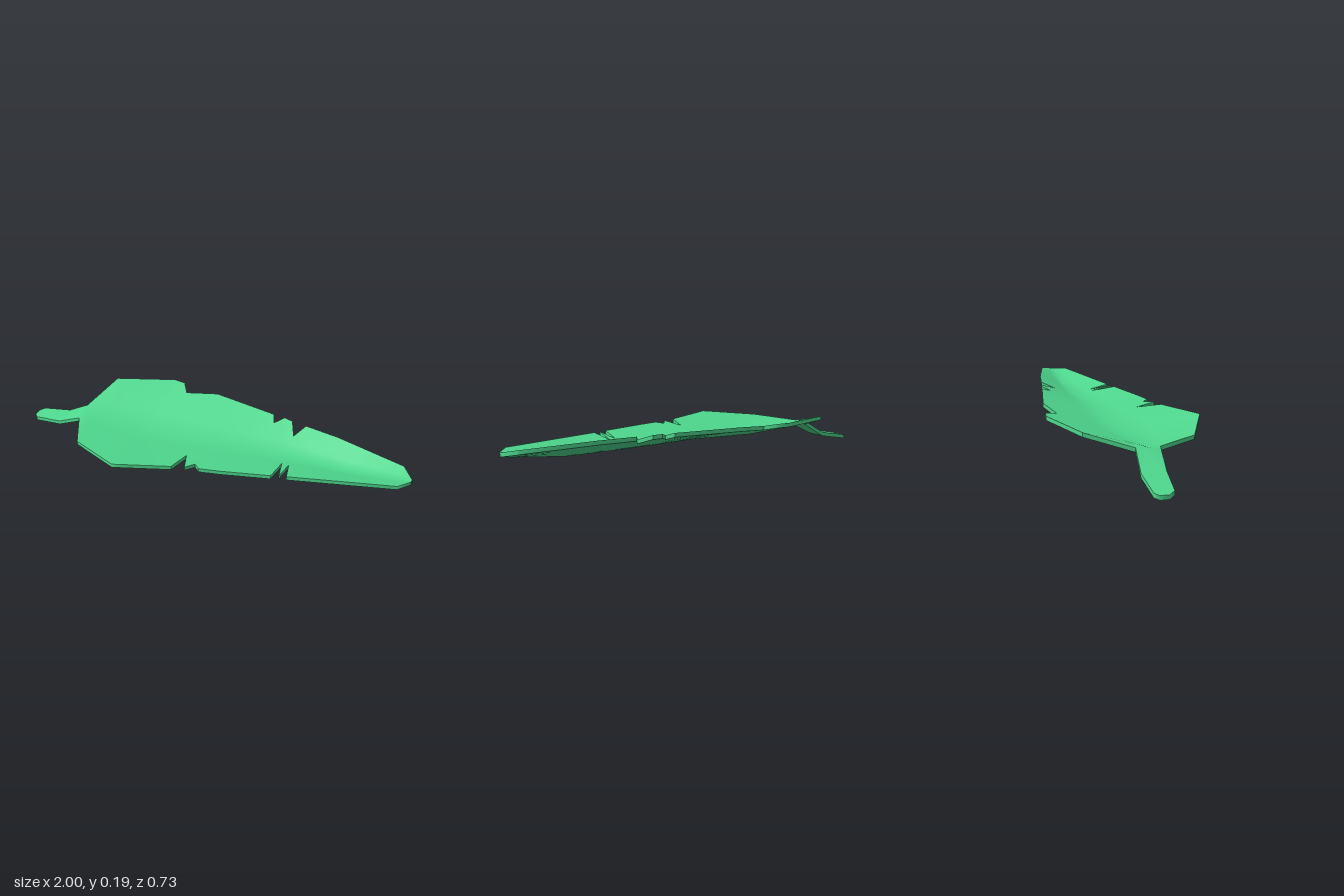
import * as THREE from 'three';
import { toCreasedNormals } from 'three/addons/utils/BufferGeometryUtils.js';

// Piecewise-linear lookup in a list of [x, value] points
function lerpAt(points, x) {
  if (x <= points[0][0]) return points[0][1];
  for (let i = 1; i < points.length; i++) {
    const [x0, v0] = points[i - 1];
    const [x1, v1] = points[i];
    if (x <= x1) return v0 + ((v1 - v0) * (x - x0)) / (x1 - x0);
  }
  return points[points.length - 1][1];
}

const THICKNESS = 0.02;
const INNER = 0.35; // share of each wing left whole by the notches

// Midrib: z position and top height
const midZ = [[-1, -0.015], [-0.7, 0], [-0.35, -0.03], [0, -0.05], [0.4, -0.09], [1, -0.1]];
const midY = [[-1, 0.022], [-0.97, 0.03], [-0.82, 0.057], [-0.7, 0.128], [-0.35, 0.107],
  [0, 0.12], [0.7, 0.12], [0.95, 0.145], [1, 0.152]];

// Whole outline of the back and front edges, stem included
const backZ = [[-1, -0.04], [-0.98, -0.06], [-0.82, -0.065], [-0.7, -0.055], [-0.63, -0.265],
  [-0.34, -0.368], [-0.28, -0.362], [-0.08, -0.338], [0.25, -0.288], [0.43, -0.262],
  [0.6, -0.24], [0.945, -0.172], [1, -0.108]];
const frontZ = [[-1, 0], [-0.975, 0.028], [-0.82, 0.045], [-0.685, 0.058], [-0.585, 0.245],
  [-0.325, 0.362], [-0.065, 0.255], [0.06, 0.218], [0.16, 0.195], [0.39, 0.13],
  [0.46, 0.108], [0.95, -0.028], [1, -0.092]];
const backY = [[-1, 0.022], [-0.97, 0.03], [-0.82, 0.057], [-0.7, 0.13], [-0.63, 0.19],
  [-0.34, 0.196], [0.25, 0.192], [0.6, 0.186], [0.945, 0.168], [1, 0.153]];
const frontY = [[-1, 0.022], [-0.97, 0.03], [-0.82, 0.057], [-0.685, 0.125], [-0.585, 0.135],
  [-0.325, 0.16], [-0.06, 0.152], [0.4, 0.153], [0.95, 0.157], [1, 0.152]];

// Torn notches: [x, edge z] runs that replace the outline
const backNotches = [
  [[-0.28, -0.362], [-0.24, -0.302], [-0.08, -0.338]],
  [[0.25, -0.288], [0.27, -0.24], [0.31, -0.282], [0.355, -0.272], [0.39, -0.195], [0.43, -0.262]],
];
const frontNotches = [
  [[-0.065, 0.255], [-0.04, 0.135], [-0.005, 0.235], [0.03, 0.188], [0.06, 0.218]],
  [[0.39, 0.13], [0.4, 0], [0.425, 0.118], [0.434, 0], [0.46, 0.108]],
];

function edgeAt(outline, notches, x) {
  const run = notches.find((n) => x >= n[0][0] && x <= n[n.length - 1][0]);
  return lerpAt(run || outline, x);
}

// Top points of one cross-section, from the back edge to the front edge
function sectionAt(x) {
  const mz = lerpAt(midZ, x);
  const my = lerpAt(midY, x);
  const wing = (outline, heights, notches) => {
    const span = lerpAt(outline, x) - mz;
    const rise = lerpAt(heights, x) - my;
    const outer = (edgeAt(outline, notches, x) - mz) / span;
    return [INNER, (INNER + outer) / 2, outer].map((t) => [my + rise * t, mz + span * t]);
  };
  return [
    ...wing(backZ, backY, backNotches).reverse(),
    [my, mz],
    ...wing(frontZ, frontY, frontNotches),
  ];
}

function leafGeometry() {
  // One station at every bend of any guide line
  const all = [midZ, midY, backZ, frontZ, ...backNotches, ...frontNotches].flat().map((p) => p[0]);
  const stations = [...new Set(all)].sort((a, b) => a - b);
  const positions = [];
  const index = [];
  let n = 0;
  for (const x of stations) {
    const top = sectionAt(x);
    n = top.length;
    for (const [y, z] of top) positions.push(x, y, z);
    for (const [y, z] of top.reverse()) positions.push(x, y - THICKNESS, z);
  }
  const ring = 2 * n;
  // Skin between neighbouring cross-sections
  for (let i = 0; i < stations.length - 1; i++) {
    for (let j = 0; j < ring; j++) {
      const a = i * ring + j;
      const b = i * ring + ((j + 1) % ring);
      index.push(a, b, a + ring, b, b + ring, a + ring);
    }
  }
  // End faces of the stem and the tip
  const last = (stations.length - 1) * ring;
  for (let j = 0; j < n - 1; j++) {
    const [a, b, c, d] = [j, j + 1, ring - 2 - j, ring - 1 - j];
    index.push(a, c, b, a, d, c);
    index.push(last + a, last + b, last + c, last + a, last + c, last + d);
  }
  const geometry = new THREE.BufferGeometry();
  geometry.setAttribute('position', new THREE.Float32BufferAttribute(positions, 3));
  geometry.setIndex(index);
  return toCreasedNormals(geometry, 0.9);
}

export function createModel() {
  const group = new THREE.Group();
  group.name = 'leaf';
  const blade = new THREE.Mesh(leafGeometry(), new THREE.MeshStandardMaterial({ color: 0x4fd98f }));
  blade.name = 'leafBladeAndStem';
  group.add(blade);
  return group;
}
